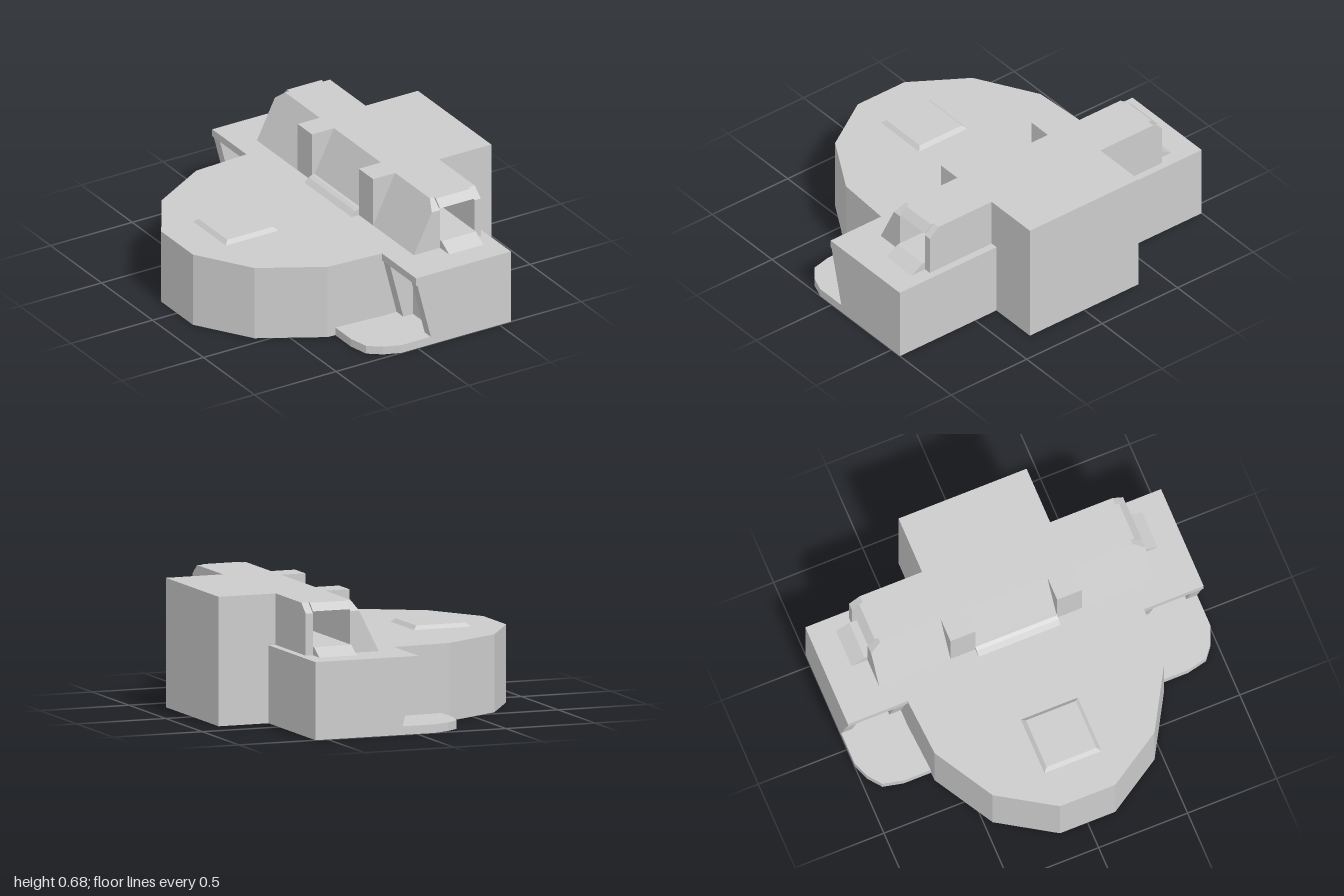
import * as THREE from 'three';

const material = new THREE.MeshStandardMaterial({ color: 0xcccccc, flatShading: true });

function shapeOf(points) {
  return new THREE.Shape(points.map(([a, b]) => new THREE.Vector2(a, b)));
}

// Plan outline [x, z] raised from y0 to y1
function planSlab(points, y0, y1) {
  const geometry = new THREE.ExtrudeGeometry(shapeOf(points.map(([x, z]) => [x, -z])),
    { depth: y1 - y0, bevelEnabled: false });
  return geometry.rotateX(-Math.PI / 2).translate(0, y0, 0);
}

// Side profile [x, y] swept from z0 to z1
function sideSlab(points, z0, z1) {
  return new THREE.ExtrudeGeometry(shapeOf(points), { depth: z1 - z0, bevelEnabled: false })
    .translate(0, 0, z0);
}

// Stack of rectangles [y, x0, x1, halfZ], from bottom to top
function rectLoft(levels) {
  const positions = [];
  const index = [];
  for (const [y, x0, x1, h] of levels) {
    positions.push(x0, y, h, x1, y, h, x1, y, -h, x0, y, -h);
  }
  for (let i = 0; i < levels.length - 1; i++) {
    for (let j = 0; j < 4; j++) {
      const a = i * 4 + j;
      const b = i * 4 + (j + 1) % 4;
      index.push(a, b, b + 4, a, b + 4, a + 4);
    }
  }
  const t = (levels.length - 1) * 4;
  index.push(0, 2, 1, 0, 3, 2, t, t + 1, t + 2, t, t + 2, t + 3);
  const geometry = new THREE.BufferGeometry();
  geometry.setAttribute('position', new THREE.Float32BufferAttribute(positions, 3));
  geometry.setIndex(index);
  const flat = geometry.toNonIndexed();
  flat.computeVertexNormals();
  return flat;
}

export function createModel() {
  const model = new THREE.Group();
  const add = (name, geometry) => {
    const mesh = new THREE.Mesh(geometry, material);
    mesh.name = name;
    model.add(mesh);
  };

  // Main hull with faceted nose
  const half = [[-0.85, 0.155], [-0.66, 0.455], [-0.33, 0.645], [-0.01, 0.665], [0.57, 0.665]];
  const mirrored = half.map(([x, z]) => [x, -z]).reverse();
  add('hull', planSlab([...half, ...mirrored], 0, 0.41));

  // Side wings: slanted struts around a recess, with a rounded step below
  const strut = [[-0.01, 0.41], [-0.01, 0.37], [0, 0.36], [0.08, 0.045], [0.08, 0], [0.57, 0], [0.57, 0.41]];
  const recess = [[-0.01, 0.41], [-0.01, 0.37], [0.14, 0.37], [0.14, 0], [0.57, 0], [0.57, 0.41]];
  const step = [[-0.285, 0.64], [-0.285, 0.8], [-0.26, 0.91], [-0.19, 0.965], [-0.1, 1], [0.15, 1], [0.15, 0.64]];
  for (const s of [1, -1]) {
    const side = s > 0 ? 'Front' : 'Back';
    const wing = (name, profile, a, b) =>
      add(name + side, sideSlab(profile, Math.min(s * a, s * b), Math.max(s * a, s * b)));
    wing('wingInnerStrut', strut, 0.66, 0.73);
    wing('wingRecess', recess, 0.73, 0.94);
    wing('wingOuterStrut', strut, 0.94, 1);
    add('step' + side, planSlab(step.map(([x, z]) => [x, s * z]), 0, 0.045));
    // Upright beside the central sloped panel
    const upright = new THREE.BoxGeometry(0.16, 0.27, 0.14);
    add('upright' + side, upright.translate(0.2, 0.545, s * 0.3));
  }

  // Tall rear block
  add('rearBlock', rectLoft([[0, 0.53, 0.85, 0.36], [0.68, 0.53, 0.85, 0.36]]));

  // Cabin around the through window
  add('cabinSlope', rectLoft([[0.41, 0.12, 0.28, 0.77], [0.63, 0.23, 0.28, 0.77], [0.68, 0.255, 0.28, 0.71]]));
  add('cabinRearWall', rectLoft([[0.41, 0.49, 0.53, 0.77], [0.63, 0.49, 0.53, 0.77], [0.68, 0.49, 0.53, 0.71]]));
  add('windowSill', rectLoft([[0.41, 0.28, 0.49, 0.86], [0.455, 0.28, 0.49, 0.785]]));
  add('cabinRoof', rectLoft([[0.64, 0.28, 0.49, 0.77], [0.68, 0.28, 0.49, 0.73]]));

  // Small ledge at the foot of the central panel
  add('panelLedge', sideSlab([[0.075, 0.41], [0.16, 0.41], [0.145, 0.445], [0.12, 0.445], [0.1, 0.435]], -0.23, 0.23));

  // Bevelled hatch on the nose
  add('hatch', rectLoft([[0.41, -0.65, -0.33, 0.16], [0.43, -0.63, -0.35, 0.14]]));

  return model;
}
